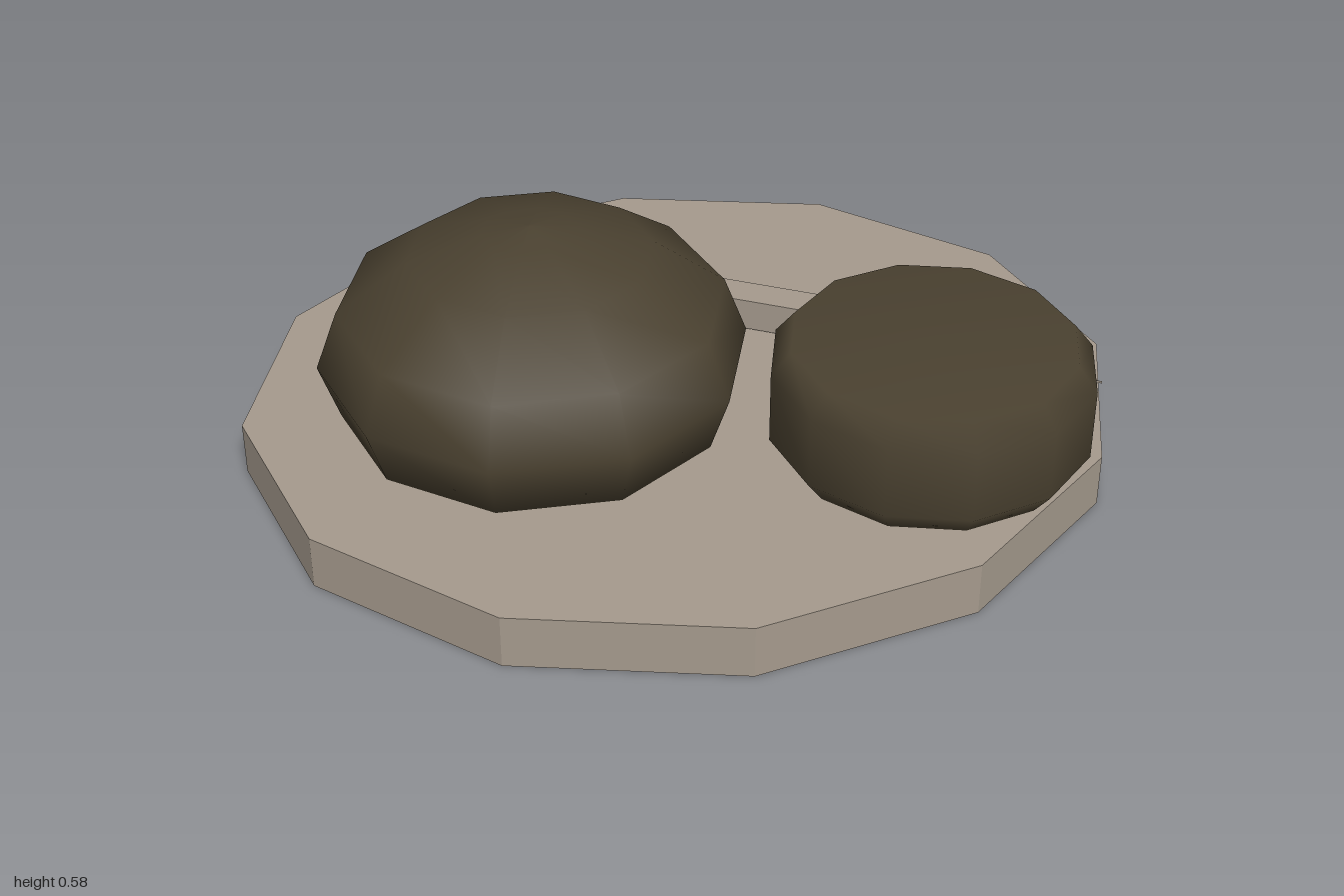
import * as THREE from 'three';

const stone = new THREE.MeshStandardMaterial({ color: 0xa59a8d });
stone.name = 'paleStone';
const darkBrown = new THREE.MeshStandardMaterial({ color: 0x4a4130 });
darkBrown.name = 'darkBrown';

// faceted geometry: every face keeps its own normal
function faceted(geometry) {
  const g = geometry.index ? geometry.toNonIndexed() : geometry;
  g.computeVertexNormals();
  return g;
}

function addPart(parent, name, geometry, material, x, y, z) {
  const mesh = new THREE.Mesh(geometry, material);
  mesh.name = name;
  mesh.position.set(x, y, z);
  parent.add(mesh);
  return mesh;
}

// smooth-shaded turned shape with a corner on the x axis
function turned(profile, sides) {
  const points = profile.map(([r, y]) => new THREE.Vector2(r, y));
  return new THREE.LatheGeometry(points, sides, Math.PI / 2);
}

export function createModel() {
  const model = new THREE.Group();
  model.name = 'model';

  // twelve-sided slab, slightly narrower in depth
  const slab = new THREE.CylinderGeometry(1, 1, 0.125, 12);
  slab.scale(1, 1, 0.887);
  addPart(model, 'slab', faceted(slab), stone, 0, 0.0625, 0);

  // large rounded loaf
  addPart(model, 'largeDome', turned([
    [0, 0.12], [0.44, 0.12], [0.487, 0.26], [0.436, 0.396],
    [0.275, 0.512], [0.107, 0.565], [0, 0.579],
  ], 10), darkBrown, -0.335, 0, 0);

  // small flat-topped round
  addPart(model, 'smallRound', turned([
    [0, 0.12], [0.315, 0.12], [0.36, 0.18], [0.36, 0.347], [0.317, 0.402], [0, 0.402],
  ], 12), darkBrown, 0.5, 0, 0.33);

  // knife lying on the slab, its origin where handle meets blade
  const knife = new THREE.Group();
  knife.name = 'knife';
  knife.position.set(0.38, 0, -0.143);
  knife.rotation.y = -0.487;
  model.add(knife);
  addPart(knife, 'handle', new THREE.BoxGeometry(0.5, 0.077, 0.082), stone, -0.25, 0.1715, 0);

  const outline = new THREE.Shape([
    new THREE.Vector2(0, -0.041), new THREE.Vector2(0.655, 0), new THREE.Vector2(0, 0.041),
  ]);
  const blade = new THREE.ExtrudeGeometry(outline, { depth: 0.006, bevelEnabled: false });
  blade.rotateX(-Math.PI / 2);
  addPart(knife, 'blade', blade, stone, 0, 0.125, 0);

  return model;
}
